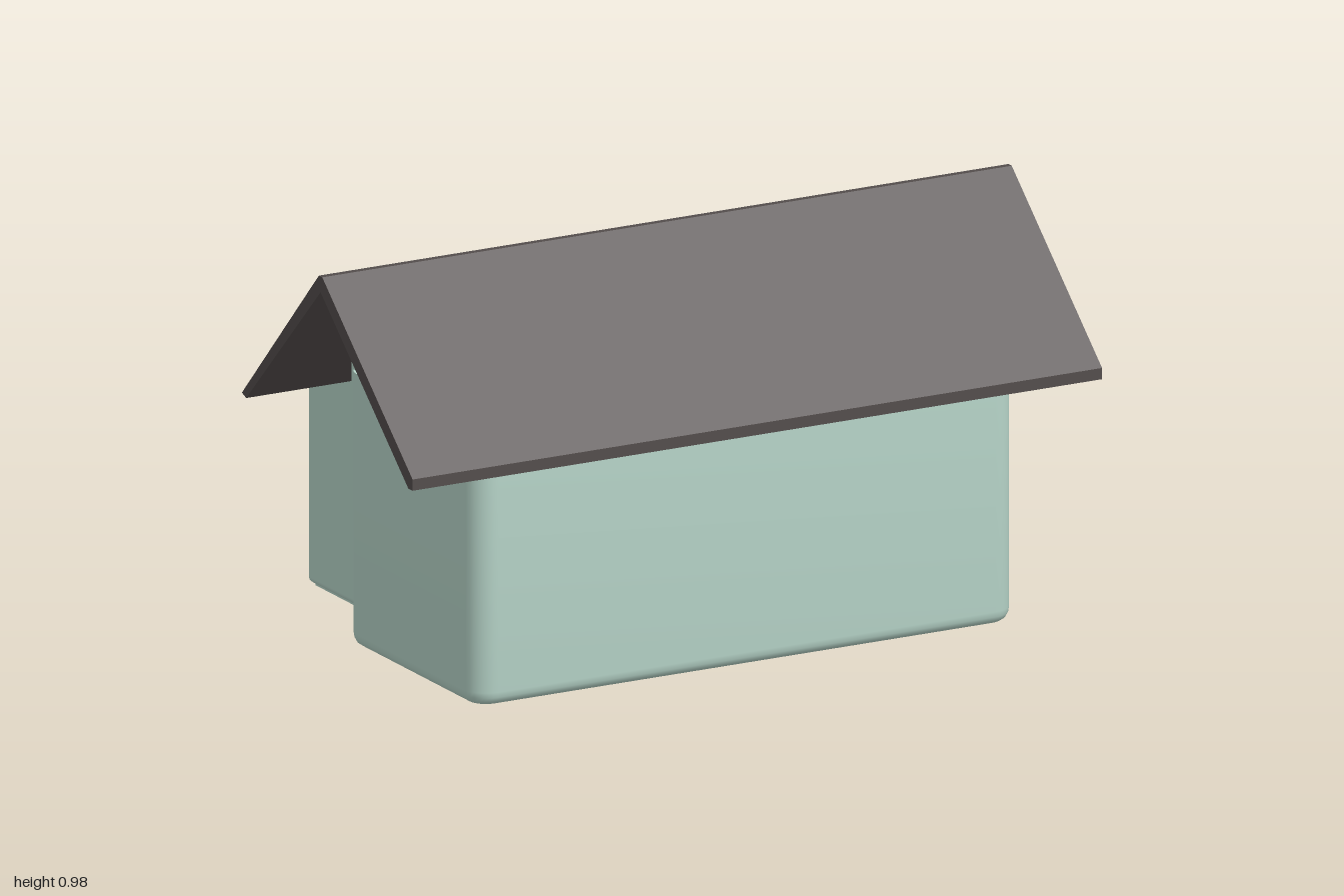
import * as THREE from 'three';
import { toCreasedNormals } from 'three/addons/utils/BufferGeometryUtils.js';
import { RoundedBoxGeometry } from 'three/addons/geometries/RoundedBoxGeometry.js';

const mat = (name, color, side = THREE.FrontSide) => {
  const m = new THREE.MeshStandardMaterial({ color, side });
  m.name = name;
  return m;
};

// Wall shell: a [inset, y] profile swept round a rounded plan that is open at the back
function wallShell(x0, x1, z0, z1, r, gap0, gap1, profile) {
  const corners = [[x1 - r, z0 + r], [x1 - r, z1 - r], [x0 + r, z1 - r], [x0 + r, z0 + r]];
  const steps = 8;
  const pos = [], index = [];
  let n = 0;
  profile.forEach(([inset, y], row) => {
    const pts = [[gap1, z0 + inset]];
    corners.forEach(([cx, cz], k) => {
      for (let i = 0; i <= steps; i++) {
        const a = (k - 1 + i / steps) * Math.PI / 2;
        pts.push([cx + (r - inset) * Math.cos(a), cz + (r - inset) * Math.sin(a)]);
      }
    });
    pts.push([gap0, z0 + inset]);
    n = pts.length;
    for (const [x, z] of pts) pos.push(x, y, z);
    if (row === 0) return;
    for (let i = 0; i < n - 1; i++) {
      const a = (row - 1) * n + i, b = a + n;
      index.push(a, b, a + 1, b, b + 1, a + 1);
    }
  });
  const geo = new THREE.BufferGeometry();
  geo.setAttribute('position', new THREE.Float32BufferAttribute(pos, 3));
  geo.setIndex(index);
  return toCreasedNormals(geo, 0.7);
}

export function createModel() {
  const green = mat('pale green', 0xb8d6ca, THREE.DoubleSide);
  const roofMat = mat('roof brown', 0x534d4c);
  const glass = mat('grey violet', 0xa0a0ab, THREE.DoubleSide);
  const pane = mat('window grey', 0x626266);
  const wood = mat('wood', 0x8a5524);

  const model = new THREE.Group();
  const house = new THREE.Group(); // the house stands at an angle to the axes
  house.name = 'house';
  house.rotation.y = THREE.MathUtils.degToRad(24);
  model.add(house);

  const add = (name, geo, material, parent = house) => {
    const mesh = new THREE.Mesh(geo, material);
    mesh.name = name;
    parent.add(mesh);
    return mesh;
  };
  // Box given by its min and max on each axis, optionally rounded
  const box = (name, x0, x1, y0, y1, z0, z1, material, parent = house, r = 0) => {
    const s = [x1 - x0, y1 - y0, z1 - z0];
    const geo = r ? new RoundedBoxGeometry(...s, 3, r) : new THREE.BoxGeometry(...s);
    const mesh = add(name, geo, material, parent);
    mesh.position.set((x0 + x1) / 2, (y0 + y1) / 2, (z0 + z1) / 2);
    return mesh;
  };
  // Profile of [z, y] points extruded along x from x0 to x1
  const prism = (name, pts, x0, x1, material) => {
    const shape = new THREE.Shape(pts.map(([z, y]) => new THREE.Vector2(-z, y)));
    const geo = new THREE.ExtrudeGeometry(shape, { depth: x1 - x0, bevelEnabled: false });
    geo.rotateY(Math.PI / 2).translate(x0, 0, 0);
    return add(name, geo, material);
  };

  // House walls: hollow, with rounded corners and bottom edge, open below
  add('walls', wallShell(-0.727, 0.702, -0.234, 0.387, 0.06, -0.6, 0.58, [
    [0.035, 0.66], [0.035, 0.005], [0.028, 0.002], [0.018, 0.004], [0.008, 0.011], [0.002, 0.022], [0, 0.035],
    [0, 0.66], [0.035, 0.66],
  ]), green);
  box('backHeader', -0.62, 0.6, 0.58, 0.68, -0.234, -0.204, green);

  // Gable walls at both ends, under the roof
  const gable = [[-0.22, 0.62], [0.38, 0.62], [0.38, 0.655], [0.046, 0.945], [-0.22, 0.69]];
  prism('gable', gable, 0.66, 0.692, green);
  prism('gable', gable, -0.715, -0.685, green);

  // Pitched roof, its front slope a little longer
  prism('roof', [[0.48, 0.612], [0.48, 0.585], [0.46, 0.585], [0.046, 0.947],
    [-0.305, 0.6], [-0.325, 0.608], [0.038, 0.985], [0.054, 0.985]], -0.945, 0.87, roofMat);

  // Back bay: open frame of jambs, lintel and sides
  box('baySide', 0.595, 0.63, 0.045, 0.643, -0.565, -0.25, green, house, 0.015);
  box('baySide', -0.64, -0.605, 0.045, 0.643, -0.565, -0.25, green, house, 0.015);
  box('jamb', 0.5, 0.63, 0.045, 0.643, -0.567, -0.527, green, house, 0.015);
  box('jamb', -0.64, -0.5, 0.045, 0.643, -0.567, -0.527, green, house, 0.015);
  box('lintel', -0.64, 0.63, 0.575, 0.643, -0.567, -0.527, green, house, 0.015);

  // Glass bay roof and its bars
  box('glassRoof', -0.606, 0.596, 0.622, 0.628, -0.535, -0.235, glass);
  for (const x of [-0.465, 0.462]) box('roofBar', x - 0.017, x + 0.017, 0.61, 0.636, -0.53, -0.24, green);

  // Floors: lower dining floor, with raised floors on both sides and inside
  box('lowerFloor', -0.62, 0.61, 0.035, 0.05, -0.56, -0.19, green);
  box('sill', -0.28, 0.3, 0.035, 0.05, -0.628, -0.56, green);
  box('sideFloor', 0.3, 0.605, 0.045, 0.1, -0.56, -0.24, green);
  box('sideFloor', -0.615, -0.28, 0.045, 0.1, -0.56, -0.24, green);
  box('innerFloor', -0.5, 0.48, 0.085, 0.1, -0.19, 0.13, green);
  box('innerFloor', 0.3, 0.48, 0.085, 0.1, -0.24, -0.19, green);
  box('innerFloor', -0.5, -0.28, 0.085, 0.1, -0.24, -0.19, green);
  prism('ramp', [[-0.628, 0.035], [-0.555, 0.035], [-0.555, 0.1], [-0.568, 0.1]], 0.3, 0.63, green);

  // Inner wall with a framed window
  box('innerWall', -0.54, 0.54, 0.085, 0.64, 0.1, 0.13, green);
  box('windowFrame', 0.12, 0.34, 0.15, 0.38, 0.092, 0.1, green);
  box('windowPane', 0.135, 0.325, 0.165, 0.365, 0.088, 0.092, pane);

  // Columns, passing down through the floor
  for (const x of [-0.42, -0.01, 0.43]) {
    const col = add('column', new THREE.CylinderGeometry(0.04, 0.04, 0.56, 24), glass);
    col.position.set(x, 0.36, -0.045);
  }

  // Dining table with turned legs
  const table = new THREE.Group();
  table.name = 'table';
  table.position.set(0, 0.05, -0.42);
  house.add(table);
  box('tableTop', -0.125, 0.125, 0.1, 0.11, -0.08, 0.08, wood, table);
  box('tableApron', -0.11, 0.11, 0.085, 0.1, -0.065, 0.065, wood, table);
  const leg = new THREE.LatheGeometry([[0.003, 0], [0.005, 0.02], [0.003, 0.04], [0.007, 0.06], [0.006, 0.1]]
    .map(p => new THREE.Vector2(...p)), 8);
  for (const x of [-0.105, 0.105]) for (const z of [-0.06, 0.06]) {
    add('tableLeg', leg, wood, table).position.set(x, 0, z);
  }

  // Chair facing its own +z, one unit tall before scaling
  const chair = (name, x, y, z, turn, height, rocking) => {
    const g = new THREE.Group();
    g.name = name;
    g.position.set(x, y, z);
    g.rotation.y = turn;
    g.scale.setScalar(height);
    house.add(g);
    box('seat', -0.27, 0.27, 0.42, 0.47, -0.25, 0.27, wood, g);
    for (const s of [-1, 1]) {
      box('frontLeg', s * 0.23 - 0.03, s * 0.23 + 0.03, 0, 0.42, 0.19, 0.25, wood, g);
      box('backLeg', s * 0.23 - 0.03, s * 0.23 + 0.03, 0, 0.42, -0.25, -0.19, wood, g);
    }
    const back = new THREE.Group();
    back.name = 'chairBack';
    back.position.set(0, 0.45, -0.22);
    back.rotation.x = rocking ? -0.3 : -0.1;
    g.add(back);
    for (const s of [-1, 1]) box('backPost', s * 0.23 - 0.03, s * 0.23 + 0.03, 0, 0.54, -0.03, 0.03, wood, back);
    box('topRail', -0.26, 0.26, 0.43, 0.55, -0.025, 0.025, wood, back);
    box('lowerRail', -0.23, 0.23, 0.15, 0.2, -0.02, 0.02, wood, back);
    for (const s of [-0.1, 0, 0.1]) box('slat', s - 0.02, s + 0.02, 0.18, 0.45, -0.01, 0.01, wood, back);
    if (!rocking) return;
    const curve = new THREE.QuadraticBezierCurve3(
      new THREE.Vector3(0, 0.1, -0.5), new THREE.Vector3(0, -0.08, 0), new THREE.Vector3(0, 0.1, 0.45));
    for (const s of [-0.23, 0.23]) {
      add('rocker', new THREE.TubeGeometry(curve, 12, 0.03, 6), wood, g).position.x = s;
      box('armRest', s - 0.04, s + 0.04, 0.64, 0.68, -0.28, 0.25, wood, g);
      box('armPost', s - 0.025, s + 0.025, 0.45, 0.64, 0.17, 0.22, wood, g);
    }
  };
  chair('diningChair', 0.18, 0.05, -0.43, -Math.PI / 2, 0.14, false);
  chair('diningChair', -0.19, 0.05, -0.43, Math.PI / 2, 0.14, false);
  chair('diningChair', 0, 0.05, -0.55, 0, 0.13, false);
  chair('sideChair', -0.265, 0.1, -0.09, Math.PI, 0.17, false);
  chair('rockingChair', 0.38, 0.1, -0.22, -Math.PI * 0.6, 0.2, true);

  return model;
}
